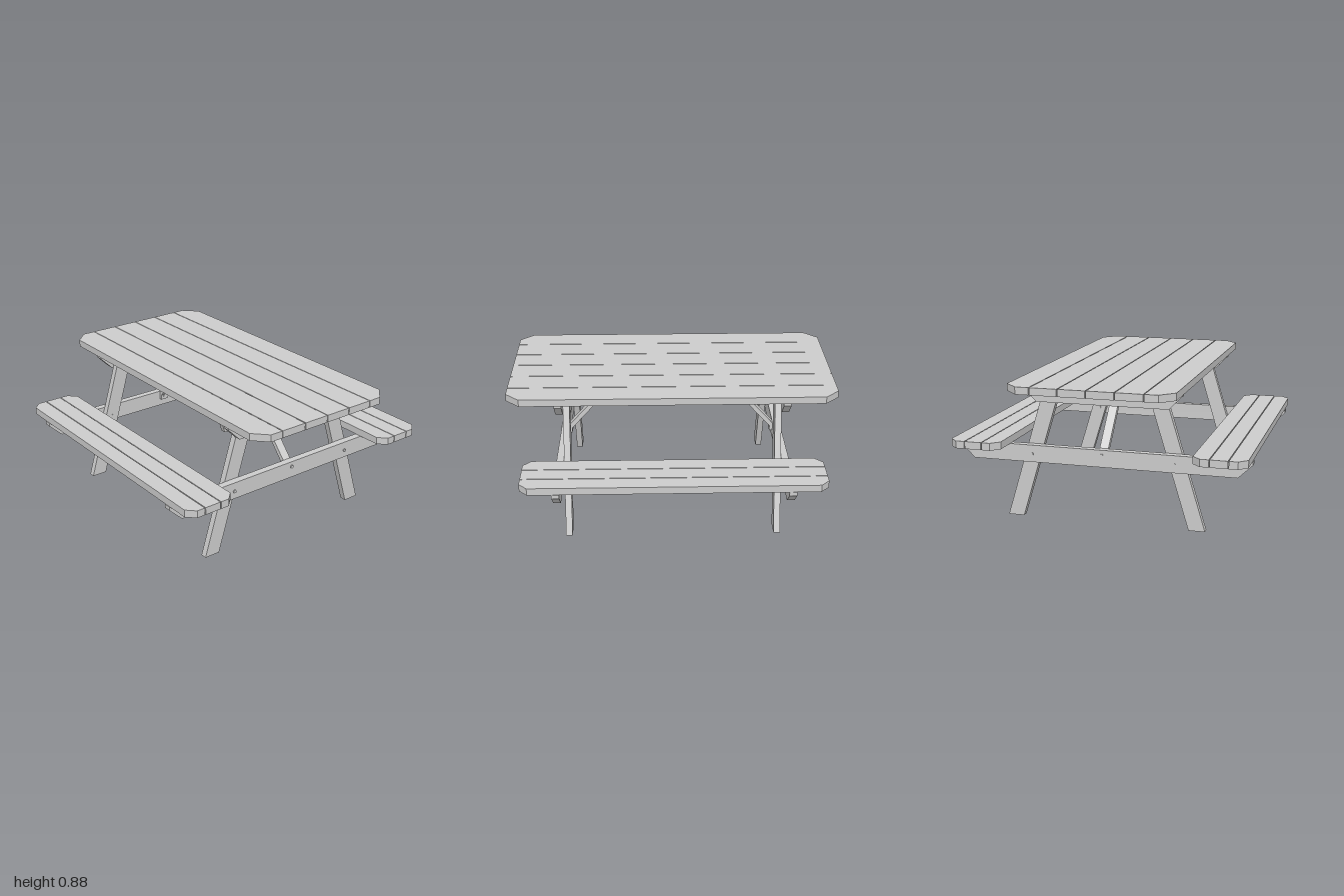
import * as THREE from 'three';

const material = new THREE.MeshStandardMaterial({ color: 0xcccccc, flatShading: true });

function extrude(points, depth) {
  const shape = new THREE.Shape(points.map(([a, b]) => new THREE.Vector2(a, b)));
  return new THREE.ExtrudeGeometry(shape, { depth, bevelEnabled: false });
}

function addMesh(parent, name, geometry) {
  const mesh = new THREE.Mesh(geometry, material);
  mesh.name = name;
  parent.add(mesh);
  return mesh;
}

// Board with a (z, y) outline, running between lo and hi on the given x side
function sideBoard(parent, name, points, side, lo, hi) {
  const geometry = extrude(points, hi - lo);
  geometry.rotateY(-Math.PI / 2).translate(side > 0 ? hi : -lo, 0, 0);
  return addMesh(parent, name, geometry);
}

// Row of planks along x; the outer corners listed in cutLow / cutHigh are clipped
function plankDeck(name, halfLength, z0, z1, count, top, thickness, cutX, cutZ) {
  const deck = new THREE.Group();
  deck.name = name;
  const gap = 0.005;
  const width = (z1 - z0 - gap * (count - 1)) / count;
  for (let i = 0; i < count; i++) {
    const a = z0 + i * (width + gap);
    const b = a + width;
    const h = halfLength;
    const low = i === 0 ? [[-h, a + cutZ], [-h + cutX, a], [h - cutX, a], [h, a + cutZ]] : [[-h, a], [h, a]];
    const high = i === count - 1 ? [[h, b - cutZ], [h - cutX, b], [-h + cutX, b], [-h, b - cutZ]] : [[h, b], [-h, b]];
    const geometry = extrude([...low, ...high], thickness);
    geometry.rotateX(Math.PI / 2).translate(0, top, 0);
    addMesh(deck, 'plank', geometry);
  }
  return deck;
}

// Through bolt along x, showing a small head on both faces
function bolt(parent, side, y, z, inner) {
  const outer = 0.717;
  const geometry = new THREE.CylinderGeometry(0.01, 0.01, outer - inner, 12);
  geometry.rotateZ(Math.PI / 2).translate(side * (outer + inner) / 2, y, z);
  addMesh(parent, 'bolt', geometry);
}

// Symmetric cross beam outline with its lower ends cut at an angle
function beamOutline(half, lowerHalf, bottom, shoulder, top) {
  return [[-lowerHalf, bottom], [lowerHalf, bottom], [half, shoulder],
    [half, top], [-half, top], [-half, shoulder]];
}

export function createModel() {
  const table = new THREE.Group();
  table.name = 'picnicTable';

  // Top and two benches
  table.add(plankDeck('tableTop', 1, -0.5, 0.5, 6, 0.88, 0.044, 0.085, 0.082));
  table.add(plankDeck('frontBench', 0.9, 0.58, 0.897, 3, 0.51, 0.045, 0.05, 0.05));
  table.add(plankDeck('backBench', 0.9, -0.897, -0.58, 3, 0.51, 0.045, 0.05, 0.05));

  for (const side of [1, -1]) {
    const frame = new THREE.Group();
    frame.name = side > 0 ? 'leftFrame' : 'rightFrame';
    table.add(frame);

    // Cross beams on the outside of the legs
    sideBoard(frame, 'topCleat', beamOutline(0.485, 0.405, 0.735, 0.815, 0.836), side, 0.665, 0.71);
    sideBoard(frame, 'benchBeam', beamOutline(0.9, 0.815, 0.36, 0.442, 0.465), side, 0.665, 0.71);

    // Splayed legs with their bolts
    for (const k of [1, -1]) {
      const outline = [[0.52, 0], [0.62, 0], [0.365, 0.836], [0.265, 0.836]].map(([z, y]) => [z * k, y]);
      sideBoard(frame, 'leg', outline, side, 0.625, 0.665);
      bolt(frame, side, 0.785, k * 0.325, 0.621);
      bolt(frame, side, 0.41, k * 0.44, 0.621);
    }

    // Diagonal brace from the bench beam up to a batten below the top
    const brace = [[0.665, 0.461], [0.665, 0.408], [0.645, 0.408], [0.645, 0.441],
      [0.338, 0.783], [0.328, 0.836]].map(([x, y]) => [x * side, y]);
    addMesh(frame, 'brace', extrude(brace, 0.054).translate(0, 0, -0.027));
    bolt(frame, side, 0.433, 0, 0.641);

    const batten = new THREE.BoxGeometry(0.056, 0.056, 0.4);
    addMesh(frame, 'batten', batten.translate(side * 0.308, 0.808, 0));
  }
  return table;
}
